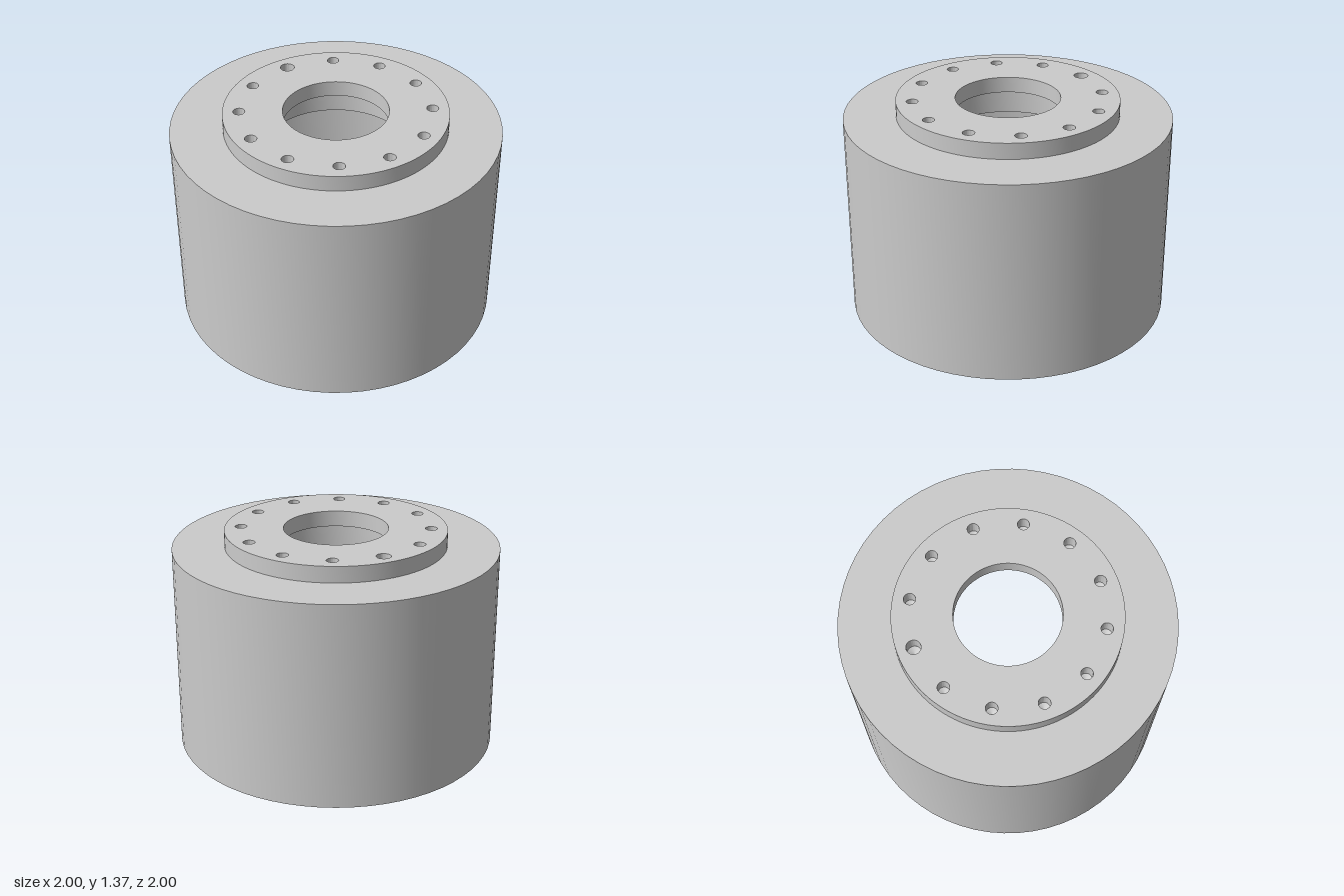
import * as THREE from 'three';
import { toCreasedNormals } from 'three/addons/utils/BufferGeometryUtils.js';

const SIDES = 64, CREASE = 0.6;
const BODY_TOP = 1.27, FLANGE_HEIGHT = 0.1;
const FLANGE_RADIUS = 0.68, BORE_RADIUS = 0.32, BOLT_CIRCLE = 0.58;

export function createModel() {
  const model = new THREE.Group();
  const grey = new THREE.MeshStandardMaterial({ color: 0xcccccc });
  const greyDouble = new THREE.MeshStandardMaterial({ color: 0xcccccc, side: THREE.DoubleSide });

  function add(name, geometry, material = grey) {
    const mesh = new THREE.Mesh(geometry, material);
    mesh.name = name;
    model.add(mesh);
    return mesh;
  }

  // Hollow body: wide bore in the thick cap, stepped inner wall, open base
  const profile = [
    [0.45, BODY_TOP], [0.45, 1.08], [0.89, 1.08], [0.89, 0.21], [0.9, 0.21],
    [0.9, 0], [1, 0], [1, BODY_TOP], [FLANGE_RADIUS, BODY_TOP],
  ].map(([r, y]) => new THREE.Vector2(r, y));
  add('housing', toCreasedNormals(new THREE.LatheGeometry(profile, SIDES), CREASE));

  // Raised flange with a central bore and a ring of holes, the rear one larger
  const circle = (x, y, r, Type = THREE.Path) => new Type().absarc(x, y, r, 0, Math.PI * 2, false);
  const flange = circle(0, 0, FLANGE_RADIUS, THREE.Shape);
  flange.holes.push(circle(0, 0, BORE_RADIUS));

  for (let i = 0; i < 12; i++) {
    const angle = (i * Math.PI) / 6;
    const radius = i === 3 ? 0.044 : 0.036;
    const x = BOLT_CIRCLE * Math.cos(angle), y = BOLT_CIRCLE * Math.sin(angle);
    flange.holes.push(circle(x, y, radius));

    // Conical floor of the blind hole
    const depth = radius * 0.6;
    const cone = new THREE.ConeGeometry(radius, depth, SIDES, 1, true);
    cone.rotateX(Math.PI);
    add('holeFloor' + (i + 1), cone, greyDouble).position.set(x, BODY_TOP - depth / 2, -y);
  }

  const plate = new THREE.ExtrudeGeometry(flange, {
    depth: FLANGE_HEIGHT, bevelEnabled: false, curveSegments: SIDES,
  });
  plate.rotateX(-Math.PI / 2);
  plate.translate(0, BODY_TOP, 0);
  add('flange', toCreasedNormals(plate, CREASE));

  return model;
}
